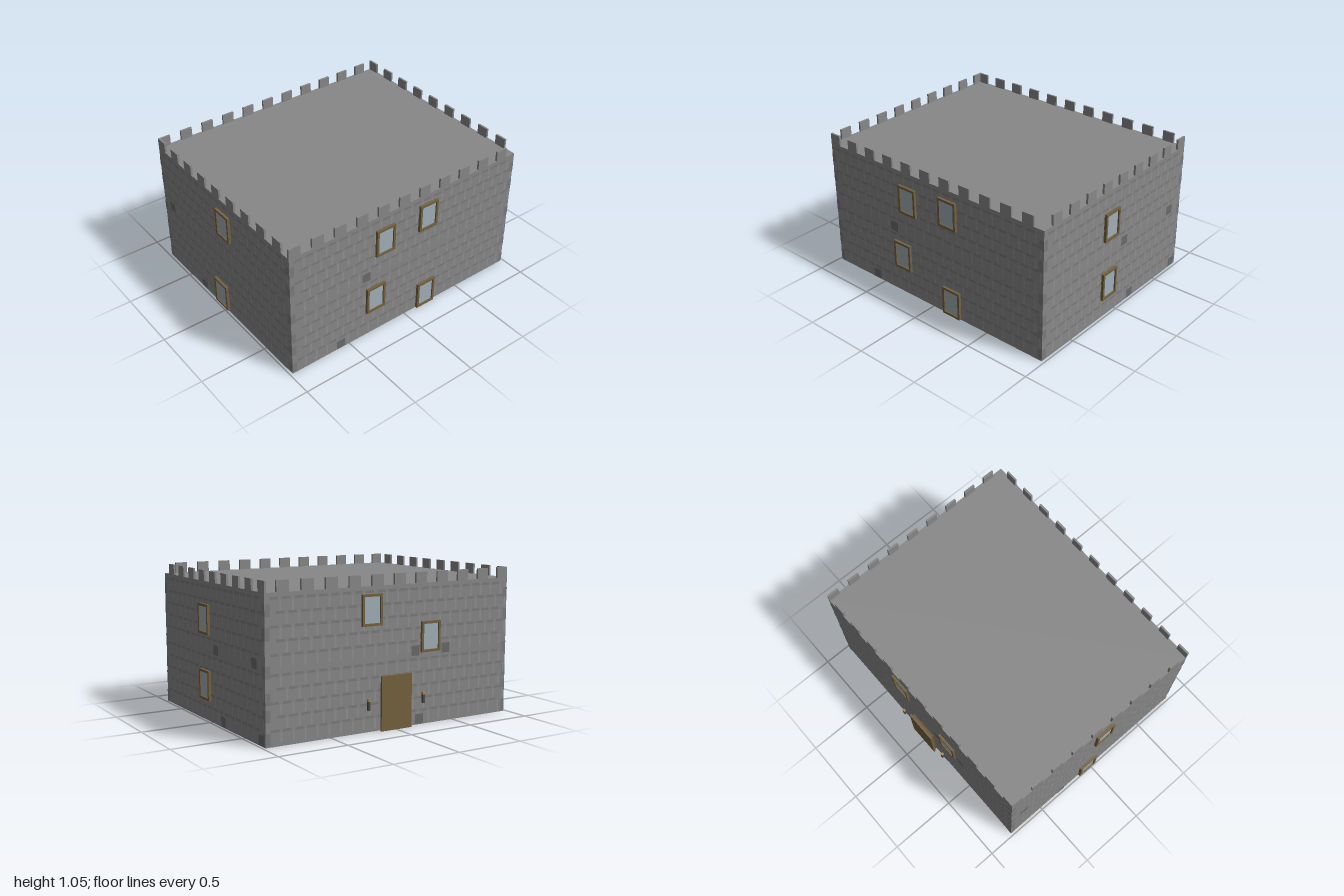
import * as THREE from 'three';
import { mergeGeometries } from 'three/addons/utils/BufferGeometryUtils.js';

const paint = (color, side = THREE.FrontSide) => new THREE.MeshStandardMaterial({ color, side });
const STONE = paint(0x888888);
const MORTAR = paint(0x7b7b7b);
const HIGHLIGHT = paint(0x919191);
const DARK_STONE = paint(0x6a6a6a);
const WOOD = paint(0x75623f);
const DARK_WOOD = paint(0x6a5838);
const GLASS = paint(0xa0b0b8);
const IRON = paint(0x4a4a4a);
const FLAME = paint(0xb08a4a);

const W = 0.98, FRONT = 0.81, BACK = -0.795, TOP = 0.98;
const WALL_THICK = 0.015, MERLON_W = 0.09, MERLON_H = 0.075, PITCH = 0.1785;

function mesh(name, geometry, material) {
  const m = new THREE.Mesh(geometry, material);
  m.name = name;
  return m;
}

function box(name, w, h, d, x, y, z, material) {
  return mesh(name, new THREE.BoxGeometry(w, h, d).translate(x, y, z), material);
}

// Flat stone patch lying just proud of the wall plane
const patch = (w, h, x, y, z) => new THREE.PlaneGeometry(w, h).translate(x, y, z);

// Framed window: u is the centre, y the sill, d the projection from the wall
function createWindow(u, y, d) {
  const w = 0.158, h = 0.212, b = 0.017;
  const rect = (P, i) => {
    const p = new P();
    p.moveTo(-w / 2 + i, i).lineTo(w / 2 - i, i).lineTo(w / 2 - i, h - i).lineTo(-w / 2 + i, h - i);
    p.closePath();
    return p;
  };
  const outline = rect(THREE.Shape, 0);
  outline.holes.push(rect(THREE.Path, b));
  const g = new THREE.Group();
  g.name = 'window';
  g.add(mesh('windowFrame', new THREE.ExtrudeGeometry(outline, { depth: d, bevelEnabled: false }), WOOD));
  g.add(box('windowPane', w - 2 * b, h - 2 * b, d / 2, 0, h / 2, d / 4, GLASS));
  g.position.set(u, y, 0);
  return g;
}

// Staggered courses: dashed joints, upright joints, corner stones and odd dark blocks
function addMasonry(wall, lo, hi, blocks) {
  const joints = [], uprights = [], dark = [];
  const course = 0.0895, step = 0.0893;
  for (const base of [0.012, 0.497]) {
    for (let r = 0; r < 5; r++) {
      const y = base + (r + 1) * course;
      const shift = (r % 2) * step / 2;
      for (let u = lo + 0.035 + shift; u < hi - 0.07; u += step) {
        joints.push(patch(0.062, 0.017, u + 0.031, y, 0.0015));
        uprights.push(patch(0.013, 0.068, u + 0.076, y - course / 2, 0.002));
      }
    }
  }
  for (const y of [0.87, 0.72, 0.48, 0.31, 0.2, 0.05]) {
    for (const u of [lo + 0.0175, hi - 0.0175]) joints.push(patch(0.035, 0.08, u, y, 0.0018));
  }
  for (const [u, y] of blocks) dark.push(patch(0.07, 0.07, u, y, 0.003));
  wall.add(mesh('mortarJoints', mergeGeometries(joints), MORTAR));
  wall.add(mesh('uprightJoints', mergeGeometries(uprights), HIGHLIGHT));
  wall.add(mesh('darkStones', mergeGeometries(dark), DARK_STONE));
}

// Wall dressing in its own frame: u along the wall, y up, z outward
function createWall(s) {
  const wall = new THREE.Group();
  wall.name = s.name;
  addMasonry(wall, s.lo, s.hi, s.blocks);
  for (let k = 0; k < s.merlons; k++) {
    const u = s.dir * (s.start + MERLON_W / 2 + k * PITCH);
    wall.add(box('merlon', MERLON_W, MERLON_H, WALL_THICK, u, TOP + MERLON_H / 2, -WALL_THICK / 2, STONE));
  }
  for (const [u, y] of s.windows) wall.add(createWindow(u, y, s.depth));
  wall.position.set(...s.at);
  wall.rotation.y = s.turn;
  return wall;
}

// Wall torch: iron stem with a burning tip
function createTorch(u) {
  const g = new THREE.Group();
  g.name = 'torch';
  g.add(box('torchStem', 0.018, 0.06, 0.018, 0, 0.03, 0, IRON));
  g.add(box('torchTip', 0.018, 0.02, 0.018, 0, 0.07, 0, FLAME));
  g.position.set(u, 0.155, 0.025);
  return g;
}

export function createModel() {
  const castle = new THREE.Group();
  castle.name = 'keep';

  castle.add(box('body', 2 * W, TOP, FRONT - BACK, 0, TOP / 2, (FRONT + BACK) / 2, STONE));

  const walls = [
    { name: 'frontWall', at: [0, 0, FRONT], turn: 0, lo: -W, hi: W, dir: 1, start: -W, merlons: 11, depth: 0.02,
      windows: [[-0.208, 0.665], [0.168, 0.7], [-0.28, 0.203], [0.186, 0.005]],
      blocks: [[-0.36, 0.52], [-0.575, 0.04]] },
    { name: 'backWall', at: [0, 0, BACK], turn: Math.PI, lo: -W, hi: W, dir: -1, start: -W, merlons: 11, depth: 0.017,
      windows: [[-0.187, 0.717], [0.297, 0.505]],
      blocks: [[0.174, 0.52], [0.43, 0.52], [0.21, 0.04]] },
    { name: 'leftWall', at: [W, 0, 0], turn: Math.PI / 2, lo: -FRONT, hi: -BACK, dir: -1, start: BACK, merlons: 9, depth: 0.02,
      windows: [[-0.09, 0.612], [-0.09, 0.148]],
      blocks: [[0.08, 0.52], [0.65, 0.52], [0.185, 0.04], [0.74, 0.04]] },
    { name: 'rightWall', at: [-W, 0, 0], turn: -Math.PI / 2, lo: BACK, hi: FRONT, dir: 1, start: BACK, merlons: 9, depth: 0.02,
      windows: [[0.05, 0.68], [-0.04, 0.02]],
      blocks: [[-0.68, 0.52], [-0.3, 0.04]] },
  ].map(createWall);
  castle.add(...walls);

  // Back door with torches on either side
  const back = walls[1];
  back.add(box('doorFrame', 0.22, 0.36, 0.02, 0, 0.18, 0.01, DARK_WOOD));
  back.add(box('door', 0.246, 0.376, 0.015, 0, 0.188, 0.0275, WOOD));
  for (const u of [-0.222, 0.228]) back.add(createTorch(u));

  return castle;
}
